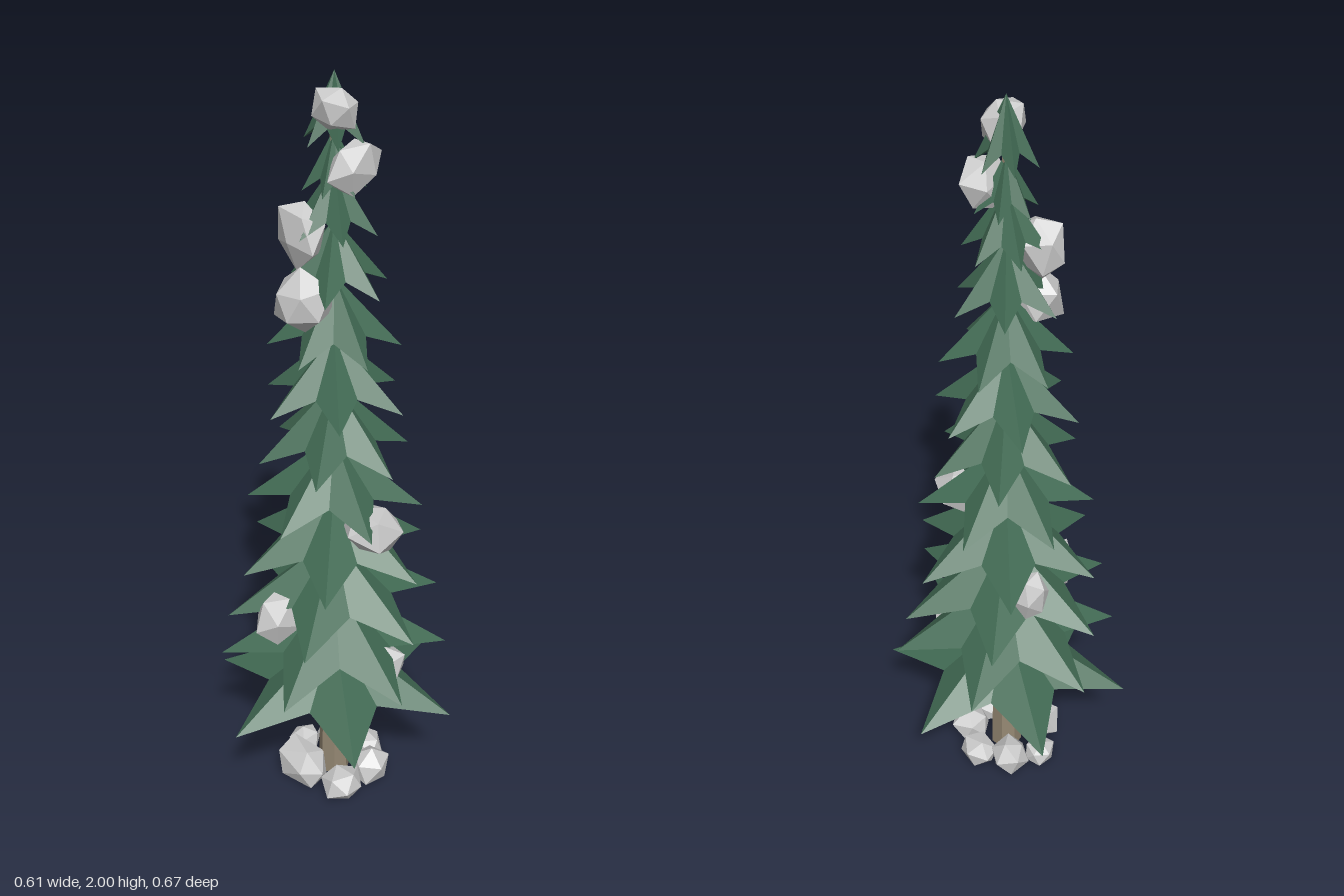
import * as THREE from 'three';

const green = new THREE.MeshStandardMaterial({ color: 0x426b54, flatShading: true });
const bark = new THREE.MeshStandardMaterial({ color: 0x958873, flatShading: true });
const grey = new THREE.MeshStandardMaterial({ color: 0xcccccc, flatShading: true });

// Six-pointed drooping star: ridges run to the tips, valleys lie between them.
function branchTier(tipY, radius, height, turn) {
  const pos = [];
  const apex = [0, tipY + height, 0];
  const under = [0, tipY + height * 0.32, 0];
  const ring = (k) => {
    const a = turn + (k * Math.PI) / 6;
    const tip = k % 2 === 0;
    const r = tip ? radius : radius * 0.54;
    return [r * Math.cos(a), tipY + (tip ? 0 : height * 0.24), r * Math.sin(a)];
  };
  for (let k = 0; k < 12; k++) {
    const a = ring(k), b = ring(k + 1);
    pos.push(...apex, ...b, ...a, ...under, ...a, ...b);
  }
  const g = new THREE.BufferGeometry();
  g.setAttribute('position', new THREE.Float32BufferAttribute(pos, 3));
  g.computeVertexNormals();
  const mesh = new THREE.Mesh(g, green);
  mesh.name = 'branchTier';
  return mesh;
}

// Faceted lump: an icosahedron with corners pushed in or out by a position hash.
function lump(name, [x, y, z], [rx, ry, rz], seed, floor = -Infinity) {
  const g = new THREE.IcosahedronGeometry(1, 0);
  g.rotateX(seed * 1.3);
  g.rotateY(seed * 2.1);
  const p = g.attributes.position;
  const v = new THREE.Vector3();
  for (let i = 0; i < p.count; i++) {
    v.fromBufferAttribute(p, i);
    const h = Math.sin(Math.round(v.x * 50) * 1.7 + Math.round(v.y * 50) * 2.9 + Math.round(v.z * 50) * 4.3 + seed);
    v.multiplyScalar(1 + 0.12 * h);
    p.setXYZ(i, x + v.x * rx, Math.max(floor, y + v.y * ry), z + v.z * rz);
  }
  g.computeVertexNormals();
  const mesh = new THREE.Mesh(g, grey);
  mesh.name = name;
  return mesh;
}

export function createModel() {
  const model = new THREE.Group();
  model.name = 'pineTree';

  // Tapered trunk
  const trunk = new THREE.Mesh(new THREE.CylinderGeometry(0.01, 0.044, 1.86, 7), bark);
  trunk.name = 'trunk';
  trunk.position.y = 0.94;
  model.add(trunk);

  // Branch tiers: tip height, radius, height, turn in degrees
  const branches = new THREE.Group();
  branches.name = 'branches';
  [
    [0.29, 0.335, 0.2, 30], [0.43, 0.305, 0.22, 4], [0.59, 0.287, 0.2, -6],
    [0.74, 0.255, 0.2, 44], [0.90, 0.225, 0.19, 15], [1.04, 0.195, 0.2, -8],
    [1.19, 0.185, 0.18, 35], [1.34, 0.162, 0.18, 10], [1.49, 0.135, 0.17, -12],
    [1.63, 0.105, 0.16, 28], [1.73, 0.075, 0.14, 0], [1.84, 0.075, 0.16, 32],
  ].forEach(([y, r, h, deg]) => branches.add(branchTier(y, r, h, THREE.MathUtils.degToRad(deg))));
  model.add(branches);

  // Snow lumps resting on the branches
  const snow = new THREE.Group();
  snow.name = 'snow';
  [
    [[0.03, 1.925, 0.02], [0.055, 0.055, 0.06]],
    [[0.045, 1.79, -0.02], [0.048, 0.072, 0.075]],
    [[-0.04, 1.63, 0.065], [0.073, 0.085, 0.05]],
    [[-0.005, 1.475, 0.09], [0.077, 0.077, 0.078]],
    [[0.14, 0.88, -0.01], [0.078, 0.067, 0.076]],
    [[-0.15, 0.71, -0.065], [0.046, 0.078, 0.05]],
    [[-0.03, 0.585, 0.165], [0.05, 0.08, 0.073]],
    [[0.15, 0.44, -0.045], [0.05, 0.063, 0.068]],
  ].forEach(([c, r], i) => snow.add(lump('snowLump', c, r, i + 1)));
  model.add(snow);

  // Ring of stones around the foot of the trunk
  const stones = new THREE.Group();
  stones.name = 'stones';
  [
    [[-0.03, 0.045, 0.09], [0.095, 0.065, 0.06]],
    [[0.10, 0.038, 0.05], [0.062, 0.05, 0.06]],
    [[0.09, 0.042, -0.05], [0.055, 0.055, 0.06]],
    [[0.01, 0.035, -0.105], [0.06, 0.045, 0.046]],
    [[-0.075, 0.045, -0.065], [0.052, 0.055, 0.055]],
    [[-0.12, 0.032, 0.01], [0.045, 0.042, 0.05]],
  ].forEach(([c, r], i) => stones.add(lump('stone', c, r, i + 11, 0)));
  model.add(stones);

  return model;
}
